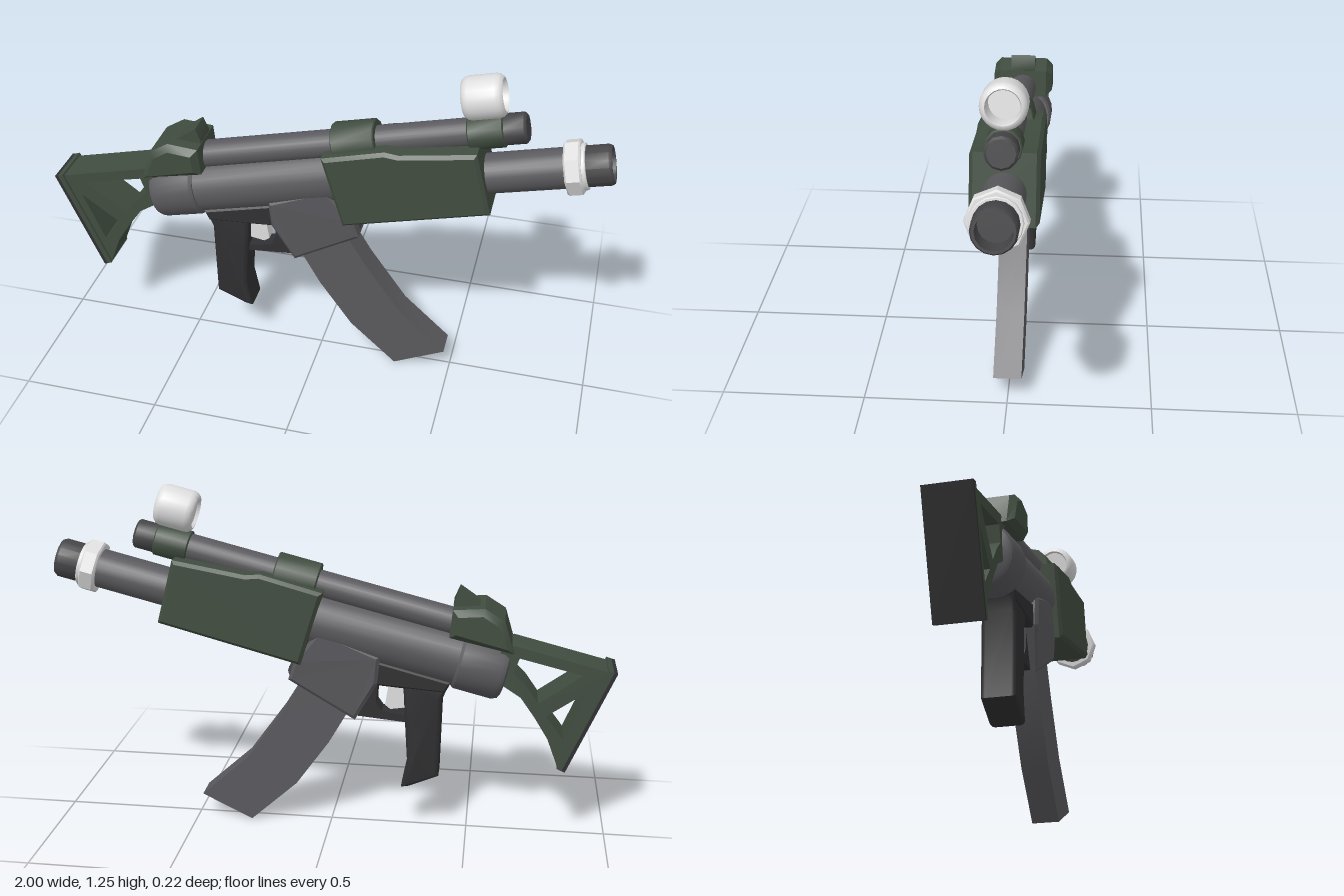
import * as THREE from 'three';
import { toCreasedNormals } from 'three/addons/utils/BufferGeometryUtils.js';

const TILT = Math.atan(0.249); // every long axis rises towards +x by this angle

const paint = (name, color) => {
  const m = new THREE.MeshStandardMaterial({ color });
  m.name = name;
  return m;
};

export function createModel() {
  const model = new THREE.Group();
  const steel = paint('steel grey', 0x5a595d);
  const green = paint('dark green', 0x414d40);
  const dark = paint('near black', 0x303032);
  const muzzleGrey = paint('dark grey', 0x464648);
  const pale = paint('pale grey', 0xdedede);

  const add = (name, geometry, material) => {
    const mesh = new THREE.Mesh(geometry, material);
    mesh.name = name;
    model.add(mesh);
    return mesh;
  };

  // Side outline extruded across z to +-half, with chamfered or rounded edges.
  // Outlines run clockwise and holes counter-clockwise, so that every wall faces outwards.
  const slab = (name, material, points, half, { bevel = 0, segments = 1, holes = [] } = {}) => {
    const outline = (list, clockwise) => {
      const v = list.map(([x, y]) => new THREE.Vector2(x, y));
      return THREE.ShapeUtils.isClockWise(v) === clockwise ? v : v.reverse();
    };
    const shape = new THREE.Shape(outline(points, true));
    shape.holes = holes.map((h) => new THREE.Path(outline(h, false)));
    const geo = new THREE.ExtrudeGeometry(shape, {
      depth: 2 * (half - bevel), bevelEnabled: bevel > 0, bevelSegments: segments,
      bevelSize: bevel, bevelThickness: bevel, bevelOffset: -bevel,
    });
    geo.translate(0, 0, bevel - half);
    return add(name, toCreasedNormals(geo, 0.6), material);
  };

  // Turned part on the tilted line y = rise + 0.249 x, starting at x0; profile is [radius, length]
  const turned = (name, material, rise, x0, profile, sides = 20) => {
    const geo = new THREE.LatheGeometry(profile.map(([r, t]) => new THREE.Vector2(r, t)), sides);
    const mesh = add(name, toCreasedNormals(geo, 0.6), material);
    mesh.position.set(x0, rise + 0.249 * x0, 0);
    mesh.rotation.z = TILT - Math.PI / 2;
    return mesh;
  };
  const rod = (r, length, c = 0.006) => [[0, 0], [r - c, 0], [r, c], [r, length - c], [r - c, length], [0, length]];

  const BARREL = 0.727, TUBE = 0.896, BODY = 0.766, SIGHT = 1.027;

  // Barrel, nut and hollow muzzle
  turned('barrel', steel, BARREL, 0.2, rod(0.07, 0.68));
  turned('barrelNut', pale, BARREL, 0.838,
    [[0.06, 0], [0.09, 0], [0.096, 0.006], [0.096, 0.05], [0.09, 0.056], [0.06, 0.056], [0.06, 0]], 8);
  turned('nutFlange', pale, BARREL, 0.888, rod(0.08, 0.018, 0.003), 16);
  turned('muzzle', muzzleGrey, BARREL, 0.885,
    [[0, 0], [0.062, 0], [0.07, 0.012], [0.07, 0.096], [0.064, 0.106], [0.056, 0.106], [0.054, 0.03], [0, 0.03]], 16);

  // Upper tube with its clamps and end cap
  turned('upperTube', steel, TUBE, -0.46, rod(0.05, 1.115));
  turned('upperTubeCap', muzzleGrey, TUBE, 0.615, rod(0.053, 0.087, 0.008), 12);
  turned('middleClamp', green, TUBE, 0.05, rod(0.074, 0.156, 0.004), 12);
  turned('sightClamp', green, TUBE, 0.508, rod(0.06, 0.122, 0.004), 12);

  // Round sight, deeply recessed at the front and slightly at the rear
  turned('sightRing', pale, SIGHT, 0.48, [
    [0, 0.012], [0.05, 0.012], [0.054, 0], [0.062, 0.002], [0.071, 0.012], [0.074, 0.025], [0.074, 0.115],
    [0.071, 0.128], [0.062, 0.138], [0.056, 0.14], [0.052, 0.13], [0.052, 0.045], [0, 0.045],
  ], 24);

  // Receiver and rear cap
  turned('receiver', steel, BODY, -0.5, rod(0.1, 0.62)).scale.z = 0.93;
  turned('rearCap', steel, BODY, -0.62,
    [[0, 0], [0.085, 0], [0.1, 0.007], [0.108, 0.025], [0.108, 0.165], [0.1, 0.175], [0, 0.175]], 24);

  // Handguard
  slab('handguard', green,
    [[0.02, 0.9], [0.24, 0.96], [0.29, 0.955], [0.55, 1.0], [0.61, 0.77], [0.1, 0.635]], 0.111, { bevel: 0.012 });

  // Rear sight housing and its peak
  slab('rearHousing', green,
    [[-0.645, 0.705], [-0.61, 0.82], [-0.54, 0.864], [-0.43, 0.855], [-0.42, 0.755]], 0.11, { bevel: 0.022 });
  slab('rearSight', green, [[-0.54, 0.85], [-0.45, 0.912], [-0.43, 0.865], [-0.435, 0.84]], 0.045);

  // Skeleton stock with two openings, its butt plate and dark pad
  slab('stock', green, [
    [-0.985, 0.645], [-0.645, 0.73], [-0.6, 0.72], [-0.59, 0.595], [-0.675, 0.54],
    [-0.725, 0.47], [-0.775, 0.39], [-0.815, 0.285], [-0.83, 0.28],
  ], 0.07, {
    holes: [
      [[-0.885, 0.632], [-0.665, 0.685], [-0.645, 0.63], [-0.69, 0.585], [-0.735, 0.522]],
      [[-0.905, 0.575], [-0.765, 0.475], [-0.83, 0.39]],
    ],
  });
  slab('buttPlate', green, [[-0.988, 0.65], [-0.97, 0.656], [-0.813, 0.282], [-0.83, 0.275]], 0.08);
  slab('buttPad', dark, [[-1, 0.647], [-0.988, 0.65], [-0.83, 0.275], [-0.842, 0.27]], 0.08);

  // Grip, trigger frame, guard and trigger
  slab('grip', dark, [
    [-0.42, 0.56], [-0.26, 0.59], [-0.27, 0.42], [-0.28, 0.27],
    [-0.26, 0.165], [-0.29, 0.17], [-0.395, 0.215], [-0.4, 0.51],
  ], 0.06, { bevel: 0.016, segments: 3 });
  slab('triggerFrame', dark,
    [[-0.43, 0.58], [-0.16, 0.65], [-0.14, 0.56], [-0.27, 0.55], [-0.41, 0.54]], 0.065, { bevel: 0.008 });
  slab('triggerGuard', dark, [
    [-0.275, 0.413], [-0.09, 0.43], [-0.13, 0.58], [-0.17, 0.58],
    [-0.165, 0.48], [-0.185, 0.452], [-0.275, 0.438],
  ], 0.036);
  slab('trigger', pale, [[-0.28, 0.57], [-0.21, 0.57], [-0.195, 0.47], [-0.215, 0.455], [-0.275, 0.465]], 0.02);

  // Magazine well, narrowing downwards
  const well = slab('magazineWell', steel, [
    [-0.18, 0.67], [-0.17, 0.565], [-0.09, 0.42], [0.11, 0.54], [0.15, 0.565], [0.125, 0.645], [0.035, 0.76],
  ], 0.085, { bevel: 0.012 }).geometry;
  const p = well.attributes.position;
  for (let i = 0; i < p.count; i++) {
    const below = 0.66 + 0.249 * p.getX(i) - p.getY(i);
    p.setZ(i, p.getZ(i) * (1 - 0.28 * THREE.MathUtils.clamp(below / 0.2, 0, 1)));
  }
  well.computeVertexNormals();

  // Magazine catch and curved magazine
  const magazineCatch = add('magazineCatch', new THREE.CylinderGeometry(0.03, 0.03, 0.1, 12), muzzleGrey);
  magazineCatch.rotation.x = Math.PI / 2;
  magazineCatch.position.set(0.122, 0.595, 0);
  slab('magazine', steel, [
    [-0.04, 0.48], [-0.06, 0.44], [0.005, 0.325], [0.125, 0.155], [0.295, 0],
    [0.48, 0.09], [0.31, 0.245], [0.175, 0.435], [0.1, 0.56],
  ], 0.049);

  return model;
}
